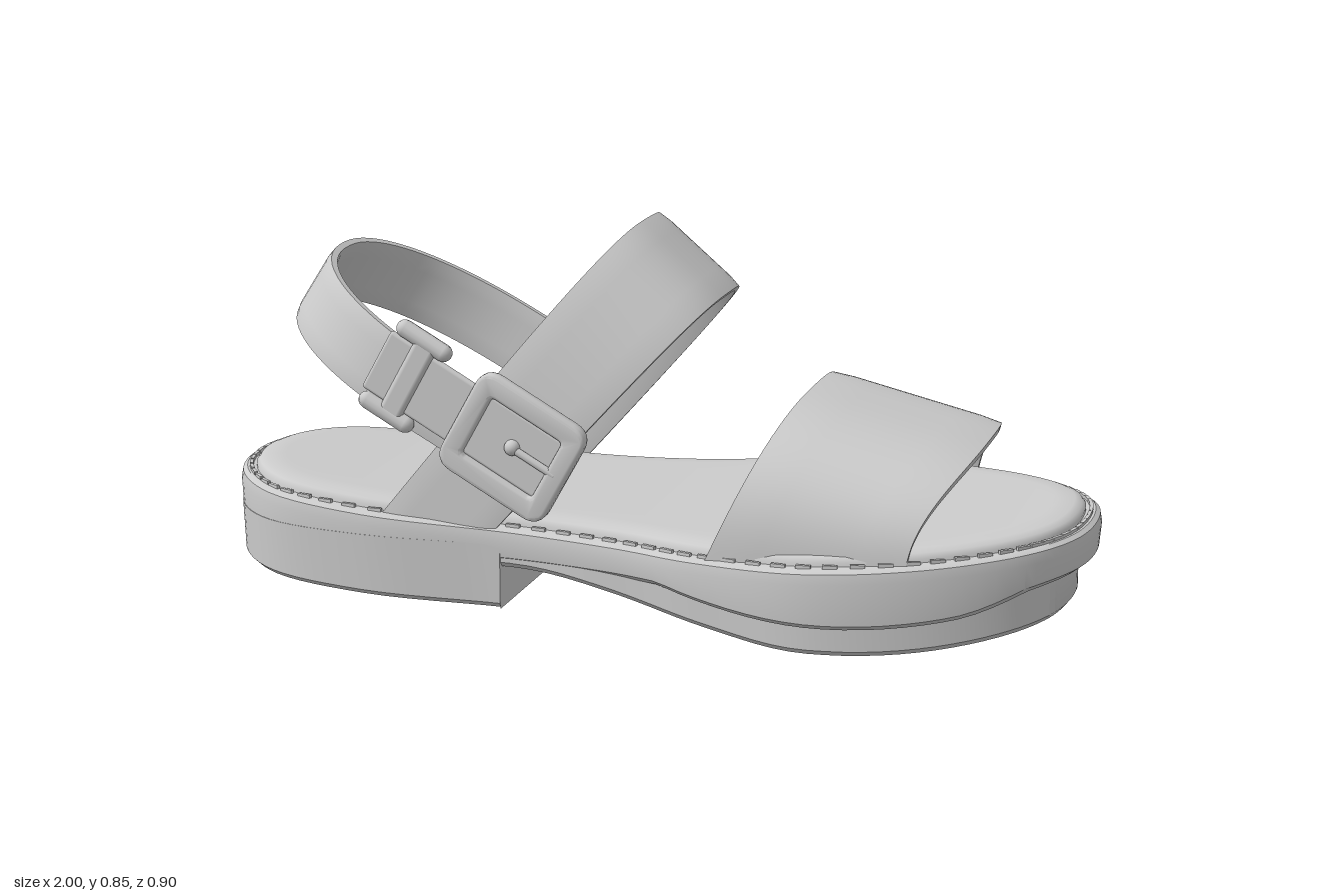
import * as THREE from 'three';
import { toCreasedNormals, mergeGeometries } from 'three/addons/utils/BufferGeometryUtils.js';
import { RoundedBoxGeometry } from 'three/addons/geometries/RoundedBoxGeometry.js';

const material = new THREE.MeshStandardMaterial({ color: 0xcccccc, roughness: 0.8 });
const V = (x, y, z) => new THREE.Vector3(x, y, z);
const { lerp, smoothstep } = THREE.MathUtils;

function add(parent, name, geometry) {
  const mesh = new THREE.Mesh(geometry, material);
  mesh.name = name;
  parent.add(mesh);
  return mesh;
}

// Closed solid through a list of rings; the winding is turned outward by its volume
function loft(rings, crease = 0.7) {
  const n = rings[0].length, pts = rings.flat(), index = [];
  for (let r = 0; r < rings.length - 1; r++) {
    for (let i = 0; i < n; i++) {
      const a = r * n + i, b = r * n + (i + 1) % n;
      index.push(a, b, b + n, a, b + n, a + n);
    }
  }
  let volume = 0;
  const t = V(0, 0, 0);
  for (let i = 0; i < index.length; i += 3) {
    volume += pts[index[i]].dot(t.crossVectors(pts[index[i + 1]], pts[index[i + 2]]));
  }
  if (volume < 0) index.reverse();
  const g = new THREE.BufferGeometry().setFromPoints(pts);
  g.setIndex(index);
  return toCreasedNormals(g, crease);
}

// Sole outline, mirrored about the long axis
const half = [[1, 0], [0.975, 0.15], [0.89, 0.27], [0.7, 0.39], [0.45, 0.45], [0.2, 0.415],
  [0, 0.355], [-0.25, 0.32], [-0.6, 0.33], [-0.84, 0.28], [-0.96, 0.16], [-1, 0]];
const outlinePts = [...half, ...half.slice(1, -1).reverse().map(([x, z]) => [x, -z])];
const outline = new THREE.CatmullRomCurve3(outlinePts.map(([x, z]) => V(x, 0, z)), true);
const N = outlinePts.length * 6;

function outlineAt(t, inset) {
  const p = outline.getPoint(t), d = outline.getTangent(t);
  return V(p.x - d.z * inset, 0, p.z + d.x * inset);
}

// Slab from a list of [inset, height], each a number or a function of x; maxX cuts it straight
function slab(profile, maxX = 2, maxZ = 2) {
  const value = (f, x) => (typeof f === 'function' ? f(x) : f);
  const ring = ([inset, height], scale = 1) => Array.from({ length: N }, (_, i) => {
    const t = i / N;
    const p = outlineAt(t, value(inset, outline.getPoint(t).x));
    if (p.x > maxX) p.set(maxX, 0, THREE.MathUtils.clamp(p.z, -maxZ, maxZ));
    return V(p.x, value(height, p.x), p.z * scale);
  });
  const first = profile[0], last = profile[profile.length - 1];
  return loft([
    ...[0, 0.4, 0.8].map(s => ring(first, s)),
    ...profile.map(p => ring(p)),
    ...[0.8, 0.4, 0].map(s => ring(last, s)),
  ]);
}

// Thick band whose middle surface is point(u, v), u along and v across
function band(point, steps = 56, across = 8, thick = 0.022) {
  const e = 0.002, rings = [];
  for (let i = 0; i <= steps; i++) {
    const u = i / steps, outer = [], inner = [];
    for (let j = 0; j <= across; j++) {
      const v = j / across;
      const du = point(Math.min(1, u + e), v).sub(point(Math.max(0, u - e), v));
      const dv = point(u, Math.min(1, v + e)).sub(point(u, Math.max(0, v - e)));
      const n = du.cross(dv).normalize();
      const taper = j === 0 || j === across ? 0.35 : 0.5;
      outer.push(point(u, v).addScaledVector(n, thick * taper));
      inner.unshift(point(u, v).addScaledVector(n, -thick * taper));
    }
    rings.push([...outer, ...inner]);
  }
  const cap = r => {
    const c = r.reduce((s, p) => s.add(p), V(0, 0, 0)).divideScalar(r.length);
    return r.map(() => c.clone());
  };
  return loft([cap(rings[0]), ...rings, cap(rings[steps])]);
}

// Arch profile: z across (-1..1) and height (0..1) along a rounded-square curve
function arch(u, n) {
  const c = Math.cos(u * Math.PI), s = Math.max(0, Math.sin(u * Math.PI));
  return { z: Math.sign(c) * Math.abs(c) ** (2 / n), h: s ** (2 / n) };
}

function roundedRect(path, w, h, r) {
  path.moveTo(-w + r, -h);
  path.lineTo(w - r, -h).quadraticCurveTo(w, -h, w, -h + r);
  path.lineTo(w, h - r).quadraticCurveTo(w, h, w - r, h);
  path.lineTo(-w + r, h).quadraticCurveTo(-w, h, -w, h - r);
  path.lineTo(-w, -h + r).quadraticCurveTo(-w, -h, -w + r, -h);
  return path;
}

export function createModel() {
  const model = new THREE.Group();
  model.name = 'sandal';

  // Sole layers
  const top = x => 0.195 + 0.05 * x * x;
  const weltBottom = x => Math.min(0.12, 0.075 + 0.3 * (x - 0.5) ** 2) + 0.035 * smoothstep(x, 0.75, 1);
  const tread = x => 0.005 + 0.103 * (1 - smoothstep(x, -0.25, 0.45)) + 0.25 * Math.max(0, x - 0.5) ** 2;
  const heelBottom = x => 0.013 + 0.05 * (x + 0.28) ** 2;
  const inset = x => 0.006 + 0.042 * smoothstep(x, -0.1, 0.3);

  add(model, 'welt', slab([
    [0.02, weltBottom], [0.004, x => weltBottom(x) + 0.012], [0, x => top(x) - 0.03],
    [0.004, x => top(x) - 0.008], [0.014, top],
  ]));
  add(model, 'outsole', slab([
    [x => inset(x) + 0.012, tread], [inset, x => tread(x) + 0.012], [inset, 0.16],
  ]));
  add(model, 'heelBlock', slab([
    [0.018, heelBottom], [0.005, x => heelBottom(x) + 0.012], [0.001, 0.16],
  ], -0.27, 0.318));
  add(model, 'footbed', slab([
    [0.036, x => top(x) - 0.02], [0.036, x => top(x) + 0.008],
    [0.044, x => top(x) + 0.019], [0.06, x => top(x) + 0.026], [0.1, x => top(x) + 0.028],
  ]));

  // Stitches around the welt
  const stitches = [];
  for (let i = 0; i < 96; i++) {
    const p = outlineAt((i + 0.5) / 96, 0.024), d = outline.getTangent((i + 0.5) / 96);
    const g = new THREE.BoxGeometry(0.032, 0.01, 0.008);
    g.rotateY(Math.atan2(-d.z, d.x)).translate(p.x, top(p.x) + 0.002, p.z);
    stitches.push(g);
  }
  add(model, 'stitching', mergeGeometries(stitches));

  // Low tread bars under the forefoot and heel
  const bars = [];
  for (let i = 0; i < 10; i++) {
    for (const [x0, step, floor] of [[0.25, 0.05, tread], [-0.8, 0.045, heelBottom]]) {
      const x = x0 + i * step;
      for (const z of [-0.11, 0.11]) {
        bars.push(new THREE.BoxGeometry(0.016, 0.006, 0.16).translate(x, floor(x) + 0.0005, z));
      }
    }
  }
  add(model, 'treadBars', mergeGeometries(bars));

  // Wide strap over the toes
  add(model, 'toeStrap', band((u, v) => {
    const { z, h } = arch(u, 2.7);
    const x = lerp(0.22 + 0.14 * h, 0.655 + 0.1 * h * h, v);
    const y = 0.185 + lerp(0.305, 0.21, v) * h;
    return V(x, y, z * lerp(0.4, 0.38, v));
  }));

  // Strap rising over the instep
  add(model, 'instepStrap', band((u, v) => {
    const { z, h } = arch(u, 3.1);
    return V(lerp(-0.57 + 0.54 * h, -0.29 + 0.445 * h, v), 0.185 + lerp(0.66, 0.5, v) * h, z * 0.302);
  }));

  // Strap around the back of the ankle; its right end tucks inside the instep strap
  add(model, 'heelStrap', band((u, v) => {
    const q = u * 2 - 1, k = Math.min(1, Math.abs(q) / 0.7), a = k * Math.PI / 2;
    const straight = Math.max(0, Math.abs(q) - 0.7) / 0.3;
    const s = 0.6 * (1 - Math.max(0, Math.cos(a)) ** 0.9) + (q > 0 ? 0.36 : 0.18) * straight;
    const z = Math.sign(q) * (q > 0 ? 0.322 : 0.28) * Math.sin(a) ** 0.9;
    return V(lerp(-0.75 + 0.62 * s, -0.84 + 0.62 * s, v), lerp(0.75, 0.61, v) - 0.335 * s, z);
  }));

  // Buckle on the left side, built flat and turned along the heel strap
  const buckle = new THREE.Group();
  buckle.name = 'buckle';
  buckle.position.set(-0.225, 0.395, 0.34);
  buckle.rotation.z = -0.51;
  const shape = roundedRect(new THREE.Shape(), 0.13, 0.115, 0.035);
  shape.holes.push(roundedRect(new THREE.Path(), 0.1, 0.083, 0.02));
  const frame = new THREE.ExtrudeGeometry(shape, {
    depth: 0.014, bevelEnabled: true, bevelThickness: 0.01, bevelSize: 0.009, bevelSegments: 3, curveSegments: 6,
  });
  add(buckle, 'buckleFrame', toCreasedNormals(frame, 0.8));
  add(buckle, 'strapTip', new RoundedBoxGeometry(0.46, 0.15, 0.018, 3, 0.008)).position.set(-0.13, 0, 0.003);
  const prong = add(buckle, 'prong', new THREE.CapsuleGeometry(0.009, 0.1, 4, 10));
  prong.rotation.z = Math.PI / 2;
  prong.position.set(0.06, 0, 0.016);
  add(buckle, 'stud', new THREE.SphereGeometry(0.018, 16, 10)).position.set(0, 0, 0.012);
  // Keeper loop with two thick ends
  add(buckle, 'keeper', new RoundedBoxGeometry(0.055, 0.2, 0.03, 3, 0.012)).position.set(-0.275, 0, 0.006);
  for (const side of [-1, 1]) {
    const end = add(buckle, 'keeperEnd', new THREE.CapsuleGeometry(0.02, 0.1, 4, 12));
    end.rotation.z = Math.PI / 2;
    end.position.set(-0.285, side * 0.095, 0.004);
  }
  model.add(buckle);
  return model;
}
